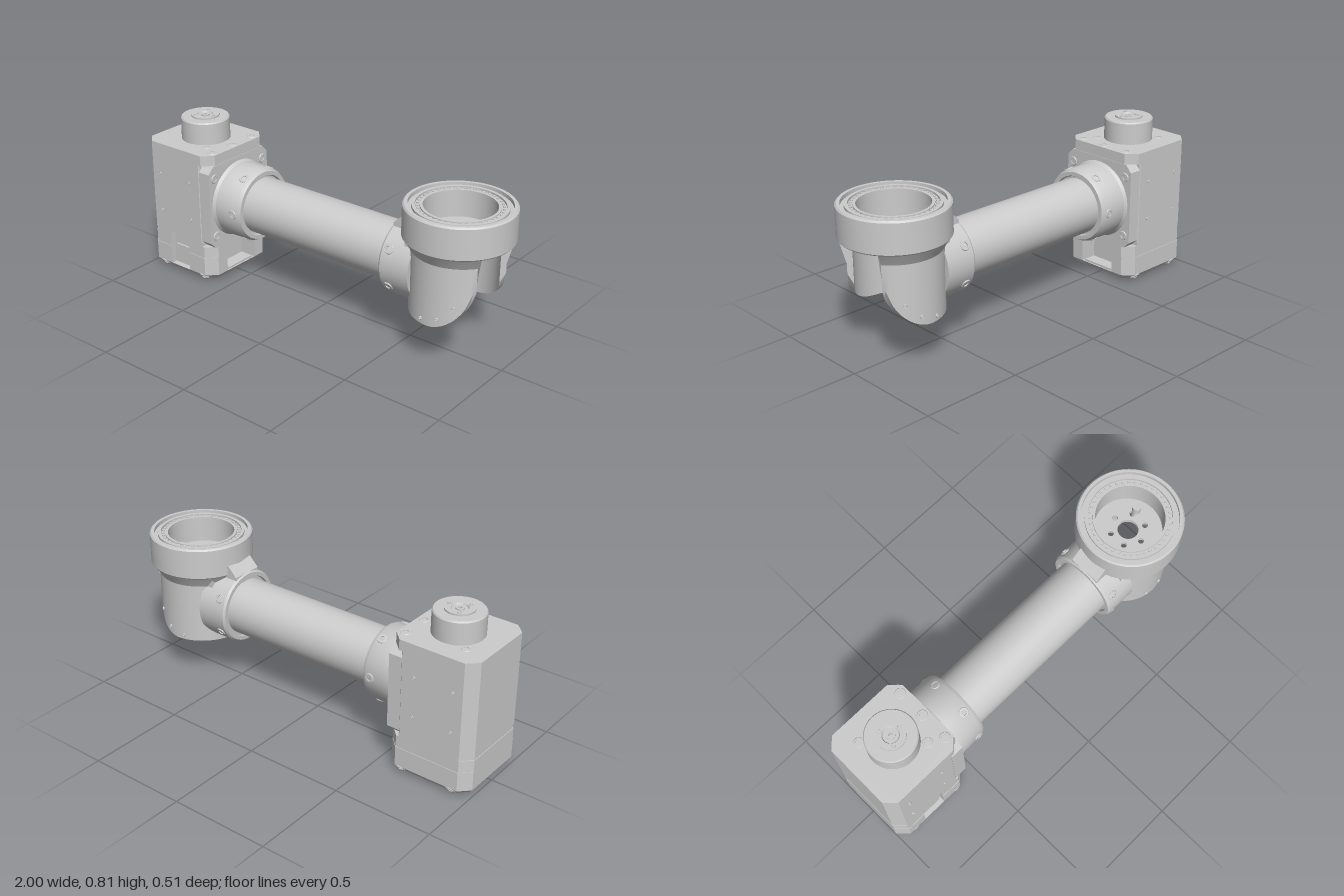
import * as THREE from 'three';
import { toCreasedNormals } from 'three/addons/utils/BufferGeometryUtils.js';

const V2 = (x, y) => new THREE.Vector2(x, y);
const AXIS_Y = 0.41;   // height of the arm tube
const RING_X = 0.743;  // centre of the joint ring
const MOTOR_X = -0.78; // centre of the output boss

export function createModel() {
  const root = new THREE.Group();
  const mat = new THREE.MeshStandardMaterial({ color: 0xcccccc });
  const thin = new THREE.MeshStandardMaterial({ color: 0xcccccc, side: THREE.DoubleSide });

  const add = (name, geo, x = 0, y = 0, z = 0, m = mat) => {
    const mesh = new THREE.Mesh(geo, m);
    mesh.name = name;
    mesh.position.set(x, y, z);
    root.add(mesh);
    return mesh;
  };
  const lathe = (pts, seg = 64) =>
    toCreasedNormals(new THREE.LatheGeometry(pts.map(p => V2(...p)), seg), 0.5);
  // lathe lying along x; profile points are [radius, x]
  const latheX = (name, pts) => add(name, lathe(pts).rotateZ(-Math.PI / 2), 0, AXIS_Y, 0, thin);
  // plan outline [x, z] extruded upward from y0 to y1
  const slab = (pts, y0, y1) => {
    const shape = new THREE.Shape(pts.map(([x, z]) => V2(x, -z)));
    return new THREE.ExtrudeGeometry(shape, { depth: y1 - y0, bevelEnabled: false })
      .rotateX(-Math.PI / 2).translate(0, y0, 0);
  };
  // socket-head screw standing on a surface with the given normal
  const screw = (name, r, pos, normal) => {
    const h = 0.006;
    const s = add(name, lathe([[0, -0.004], [r * 0.55, -0.004], [r * 0.55, h], [r * 0.9, h], [r, h * 0.5], [r, -0.01]], 16), ...pos, thin);
    s.quaternion.setFromUnitVectors(new THREE.Vector3(0, 1, 0), new THREE.Vector3(...normal).normalize());
  };

  // --- Motor housing: chamfered box with a cable recess and a front notch
  const plan = (x1, d, c2 = 0.05, notch = false) => {
    const pts = [[-1, -d + 0.05], [-1, d - 0.05], [-0.95, d]];
    if (notch) pts.push([-0.85, d], [-0.85, d - 0.03], [-0.725, d - 0.03], [-0.725, d]);
    pts.push([x1 - c2, d], [x1, d - c2]);
    if (notch) pts.push([x1, 0.102], [x1 - 0.09, 0.102], [x1 - 0.09, -0.102], [x1, -0.102]);
    pts.push([x1, -d + c2], [x1 - c2, -d], [-0.95, -d]);
    return pts;
  };
  const foot = slab(plan(-0.567, 0.217), 0, 0.032);
  const p = foot.attributes.position;
  for (let i = 0; i < p.count; i++) {
    if (p.getY(i) < 0.01) p.setXYZ(i, -0.785 + (p.getX(i) + 0.785) * 0.87, 0, p.getZ(i) * 0.87);
  }
  foot.computeVertexNormals();
  add('housingFoot', foot);
  add('housingBase', slab(plan(-0.567, 0.217, 0.05, true), 0.032, 0.13));
  const lower = plan(-0.567, 0.214, 0.05, true);
  add('housingPillars', slab(lower, 0.13, 0.19));
  add('notchTop', slab([[-0.997, -0.16], [-0.997, 0.16], [-0.947, 0.214], [-0.85, 0.214], [-0.85, 0.184], [-0.725, 0.184],
    [-0.725, 0.214], [-0.63, 0.214], [-0.63, -0.214], [-0.947, -0.214]], 0.19, 0.212));
  add('housingBody', slab(plan(-0.63, 0.215, 0.005), 0.212, 0.63));
  add('housingTop', slab(plan(-0.567, 0.215), 0.63, 0.683));
  add('frontTab', new THREE.BoxGeometry(0.1, 0.1, 0.012), -0.787, 0.09, 0.188);
  add('bottomSlot', new THREE.BoxGeometry(0.012, 0.012, 0.18), -0.58, 0.036, 0);

  // mounting plate between housing and arm
  const plate = new THREE.Shape([V2(-0.18, 0.19), V2(0.18, 0.19), V2(0.213, 0.222), V2(0.213, 0.595),
    V2(0.18, 0.63), V2(-0.18, 0.63), V2(-0.213, 0.595), V2(-0.213, 0.222)]);
  add('mountingPlate', new THREE.ExtrudeGeometry(plate, { depth: 0.067, bevelEnabled: false })
    .rotateY(Math.PI / 2), -0.632);
  for (const sz of [-1, 1]) {
    for (const y of [0.255, 0.565]) screw('plateScrew', 0.024, [-0.565, y, sz * 0.175], [1, 0, 0]);
    for (const x of [-0.9, -0.7]) for (const y of [0.32, 0.52]) screw('sidePin', 0.008, [x, y, sz * 0.213], [0, 0, sz]);
    for (const x of [-0.91, -0.64]) screw('footScrew', 0.026, [x, 0.016, sz * 0.2], [0, -0.9, sz]);
  }
  for (const z of [-0.145, 0, 0.145]) screw('topScrew', 0.026, [-0.602, 0.68, z], [0, 1, 0]);
  for (const s of [-1, 1]) screw('topScrew', 0.024, [MOTOR_X + s * 0.108, 0.68, s * 0.108], [0, 1, 0]);

  // --- Output boss
  add('outputBoss', lathe([[0.122, 0.67], [0.122, 0.79], [0.117, 0.797], [0.07, 0.797], [0.07, 0.805], [0.04, 0.805],
    [0.036, 0.797], [0.02, 0.797], [0.02, 0.803], [0.009, 0.803], [0.009, 0.78], [0, 0.78]]), MOTOR_X, 0, 0, thin);
  for (let i = 0; i < 3; i++) {
    const a = i * Math.PI * 2 / 3;
    screw('bossScrew', 0.009, [MOTOR_X + Math.cos(a) * 0.054, 0.803, Math.sin(a) * 0.054], [0, 1, 0]);
  }

  // --- Arm: clamp collar, tube, elbow flange
  latheX('clampCollar', [[0.2, -0.57], [0.188, -0.55], [0.186, -0.42], [0.175, -0.4], [0.155, -0.4], [0.15, -0.41], [0.138, -0.41]]);
  latheX('armTube', [[0.142, -0.56], [0.142, 0.5]]);
  latheX('elbowFlange', [[0.14, 0.45], [0.155, 0.45], [0.158, 0.437], [0.177, 0.437], [0.185, 0.447], [0.185, 0.6], [0, 0.6]]);
  for (let i = 0; i < 6; i++) {
    for (const [x, off] of [[-0.443, 0], [0.482, Math.PI / 6]]) {
      const a = i * Math.PI / 3 + off, c = Math.cos(a), s = Math.sin(a);
      screw('clampScrew', 0.024, [x, AXIS_Y + s * 0.184, c * 0.184], [0, s, c]);
    }
  }

  // --- Elbow: round shell, open toward +x, lower edge cut by a quarter arc
  const bottom = x => {
    const d = Math.min(Math.max(x - 0.72, 0), 0.185);
    return AXIS_Y - Math.sqrt(0.185 ** 2 - d * d);
  };
  const R = 0.215, IN = 0.188, N = 72, START = Math.asin(0.122 / R);
  const verts = [], idx = [];
  for (let i = 0; i <= N; i++) {
    const a = START + (Math.PI * 2 - 2 * START) * i / N, c = Math.cos(a), s = Math.sin(a);
    const yo = bottom(RING_X + R * c), yi = bottom(RING_X + IN * c);
    for (const [r, y] of [[IN, yi], [R, yo], [R, 0.53], [0.228, 0.553], [0.25, 0.588], [IN, 0.588]]) {
      verts.push(RING_X + r * c, y, r * s);
    }
    if (i < N) for (let j = 0; j < 6; j++) {
      const k = i * 6 + j, l = i * 6 + (j + 1) % 6;
      idx.push(k, l, k + 6, l, l + 6, k + 6);
    }
  }
  for (const b of [0, N * 6]) for (let j = 1; j < 5; j++) {
    idx.push(...(b ? [b, b + j, b + j + 1] : [b, b + j + 1, b + j]));
  }
  const shell = new THREE.BufferGeometry();
  shell.setAttribute('position', new THREE.Float32BufferAttribute(verts, 3));
  // wind the faces outward
  for (let i = 0; i < idx.length; i += 3) [idx[i + 1], idx[i + 2]] = [idx[i + 2], idx[i + 1]];
  shell.setIndex(idx);
  add('elbowShell', toCreasedNormals(shell, 0.5), 0, 0, 0, thin);
  add('elbowBackWall', new THREE.BoxGeometry(0.05, 0.18, 0.28), 0.575, 0.5, 0);

  // sloped fairing from flange to ring
  const fair = new THREE.Shape([V2(0.445, 0.55), V2(0.445, 0.593), V2(0.492, 0.64), V2(0.56, 0.64), V2(0.56, 0.55)]);
  add('elbowFairing', new THREE.ExtrudeGeometry(fair, { depth: 0.16, bevelEnabled: false }), 0, 0, -0.08);

  // access cover and pins inside and on the cheeks
  add('accessCover', new THREE.CylinderGeometry(0.082, 0.082, 0.006, 48).rotateZ(Math.PI / 2), 0.602, AXIS_Y, 0);
  for (const sz of [-1, 1]) {
    for (const y of [-0.072, 0.072]) screw('coverScrew', 0.009, [0.601, AXIS_Y + y, sz * 0.072], [1, 0, 0]);
    for (const [x, y] of [[0.695, 0.25], [0.78, 0.272], [0.85, 0.338]]) {
      const z = Math.sqrt(R * R - (x - RING_X) ** 2);
      screw('cheekPin', 0.009, [x, y, sz * z], [x - RING_X, 0, sz * z]);
    }
  }

  // --- Joint ring: cup with stepped, grooved rim
  add('jointRing', lathe([[0.165, 0.586], [0.25, 0.586], [0.255, 0.592], [0.255, 0.736], [0.248, 0.744], [0.232, 0.744],
    [0.232, 0.725], [0.215, 0.725], [0.215, 0.738], [0.2, 0.738], [0.2, 0.728], [0.178, 0.728], [0.178, 0.735],
    [0.165, 0.735], [0.165, 0.586]], 72), RING_X, 0, 0, thin);
  const floor = new THREE.Shape().absarc(0, 0, 0.19, 0, Math.PI * 2);
  const hole = (x, y, r) => floor.holes.push(new THREE.Path().absarc(x, y, r, 0, Math.PI * 2, true));
  hole(0, 0, 0.05);
  for (let i = 0; i < 6; i++) {
    const a = Math.PI / 6 + i * Math.PI / 3;
    hole(Math.cos(a) * 0.085, Math.sin(a) * 0.085, 0.014);
  }
  add('jointFloor', new THREE.ExtrudeGeometry(floor, { depth: 0.02, bevelEnabled: false, curveSegments: 32 })
    .rotateX(-Math.PI / 2), RING_X, 0.584, 0);
  for (let i = 0; i < 40; i++) {
    const a = i * Math.PI / 20;
    add('rimStud', new THREE.CylinderGeometry(0.007, 0.007, 0.008, 8),
      RING_X + Math.cos(a) * 0.189, 0.73, Math.sin(a) * 0.189);
  }
  add('stopPin', new THREE.CylinderGeometry(0.021, 0.021, 0.09, 20), RING_X + 0.1, 0.603, -0.04);
  return root;
}
